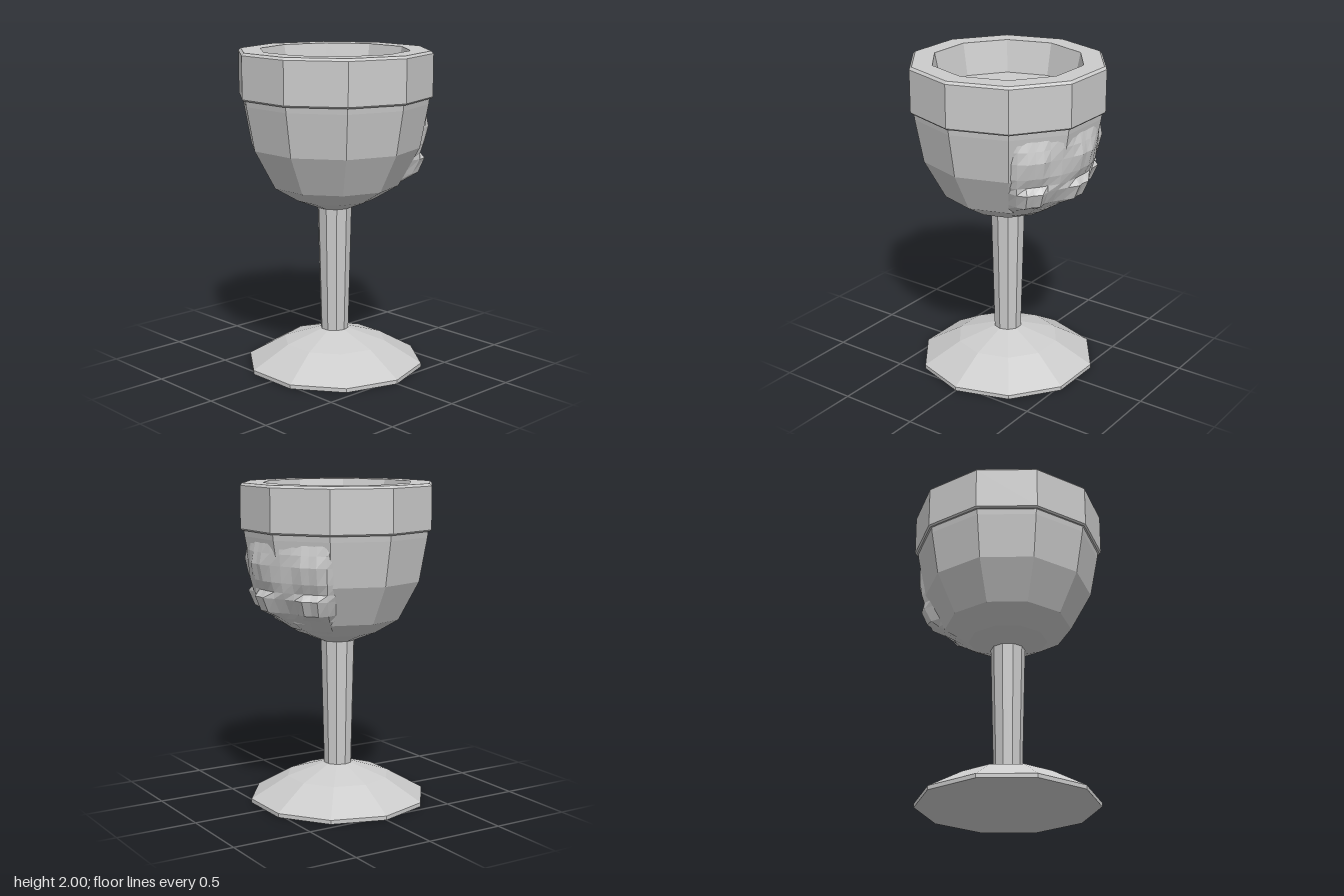
import * as THREE from 'three';

const SIDES = 10;
const stone = new THREE.MeshStandardMaterial({ color: 0xcccccc, flatShading: true });

// Ten-sided turned part from [radius, height] pairs, with a corner on the x axis
function turned(name, profile) {
  const points = profile.map(([r, y]) => new THREE.Vector2(r, y));
  const geometry = new THREE.LatheGeometry(points, SIDES, Math.PI / 2);
  const mesh = new THREE.Mesh(geometry, stone);
  mesh.name = name;
  return mesh;
}

const BOWL = [[0.1, 1.02], [0.25, 1.08], [0.4, 1.17], [0.53, 1.41], [0.58, 1.68], [0.585, 1.72]];

// Distance from the axis to the faceted bowl wall, at an angle measured from the back
function wallRadius(angle, y) {
  let k = 0;
  while (k < BOWL.length - 2 && y > BOWL[k + 1][1]) k++;
  const [r0, y0] = BOWL[k], [r1, y1] = BOWL[k + 1];
  const corner = r0 + (r1 - r0) * (y - y0) / (y1 - y0);
  const step = 2 * Math.PI / SIDES;
  const fromFacet = angle - Math.round(angle / step) * step;
  return corner * Math.cos(step / 2) / Math.cos(fromFacet);
}

// Knobbly carving wrapped round the back of the bowl: three ridges with ledges
function carving() {
  // [height, lift on a ridge, lift between ridges]
  const rows = [
    [1.06, -0.01, -0.01], [1.12, 0.015, 0.005], [1.2, 0.04, 0.02], [1.24, 0.1, 0.035],
    [1.33, 0.092, 0.035], [1.37, 0.04, 0.03], [1.43, 0.045, 0.02], [1.53, 0.05, 0.012],
    [1.6, 0.024, 0.006], [1.68, -0.01, -0.01],
  ];
  // [angle in degrees, share of the ridge lift]
  const columns = [[-58, -1], [-52, 0.3]];
  [-41, 0, 38].forEach((c, i) => {
    columns.push([c - 5, 1], [c, 0.85], [c + 5, 1]);
    if (i < 2) columns.push([c + 12, 0.35], [c + 20, 0], [c + 28, 0.35]);
  });
  columns.push([49, 0.3], [56, -1]);

  const positions = [], index = [], n = columns.length;
  rows.forEach(([y, ridge, valley], i) => {
    columns.forEach(([degrees, share], j) => {
      const a = THREE.MathUtils.degToRad(degrees);
      const lift = share < 0 ? -0.01 : valley + (ridge - valley) * share;
      const r = wallRadius(a, y) + lift;
      positions.push(r * Math.sin(a), y, -r * Math.cos(a));
      if (i && j) {
        const p = (i - 1) * n + j - 1, q = p + n;
        index.push(p + 1, p, q, p + 1, q, q + 1);
      }
    });
  });
  const geometry = new THREE.BufferGeometry();
  geometry.setAttribute('position', new THREE.Float32BufferAttribute(positions, 3));
  geometry.setIndex(index);
  geometry.computeVertexNormals();
  const mesh = new THREE.Mesh(geometry, stone);
  mesh.name = 'backCarving';
  return mesh;
}

export function createModel() {
  const goblet = new THREE.Group();
  goblet.name = 'goblet';
  goblet.add(
    turned('foot', [[0, 0], [0.558, 0], [0.558, 0.025], [0.325, 0.16], [0.09, 0.235], [0, 0.235]]),
    turned('stem', [[0.088, 0.22], [0.108, 1.03]]),
    turned('bowl', [[0, 1.02], ...BOWL]),
    // Thick rim, bevelled on top, with a shallow flat-floored well
    turned('rim', [[0.57, 1.715], [0.595, 1.715], [0.605, 1.725], [0.605, 1.985], [0.59, 2],
      [0.465, 2], [0.425, 1.8], [0, 1.8]]),
    carving(),
  );
  return goblet;
}
